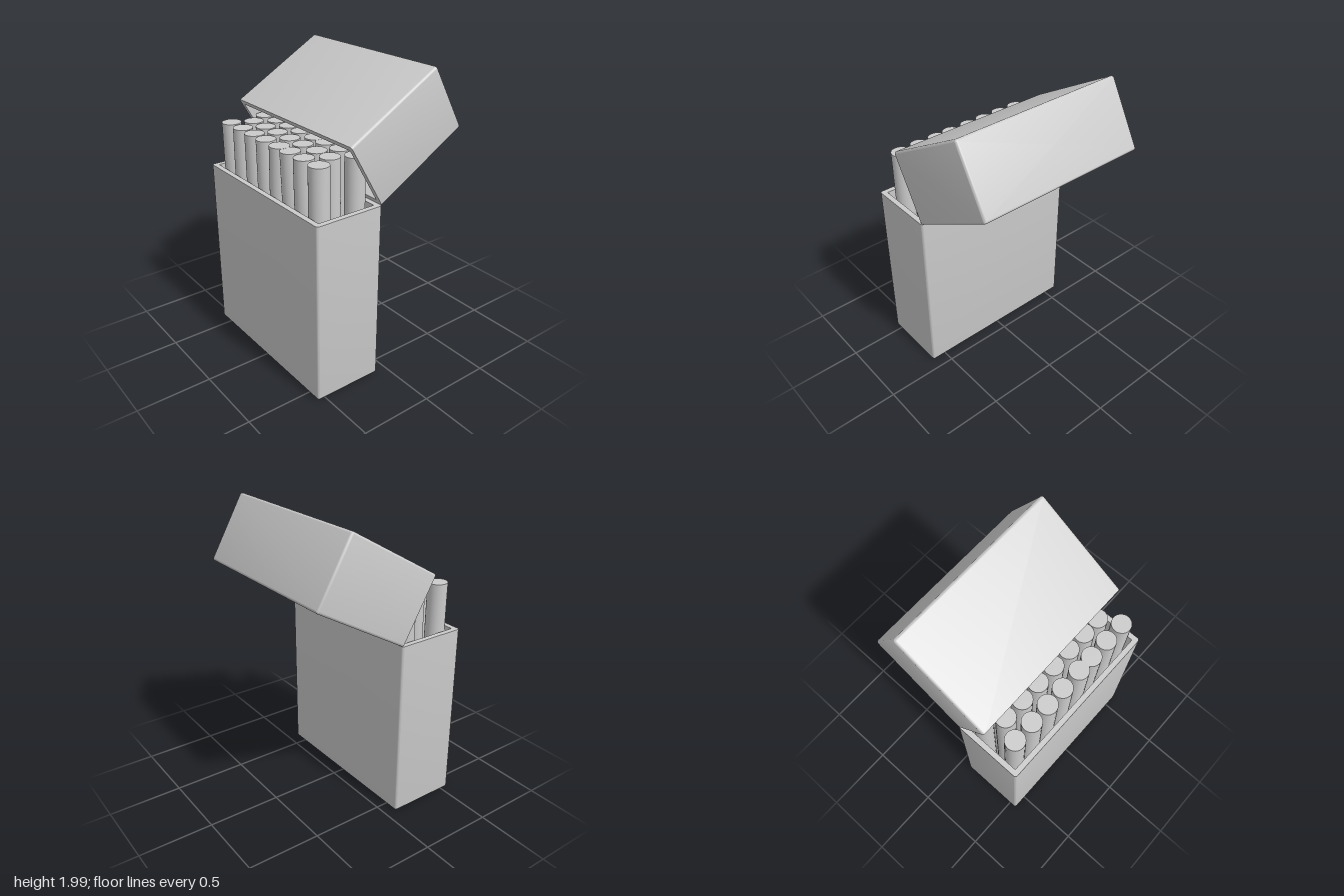
import * as THREE from 'three';
import { toCreasedNormals } from 'three/addons/utils/BufferGeometryUtils.js';

const W = 1.21, D = 0.48, WALL = 0.036, R = 0.016;
const BODY_H = 1.22, LID_H = 0.73, BACK_Z = 0.075;

// Rounded rectangle as points, inset from the outer wall by a distance
function ring(inset, y, collapse) {
  const r = Math.max(R - inset, 0), points = [];
  const cx = W / 2 - inset - r, cz = D / 2 - inset - r;
  for (let q = 0; q < 4; q++) {
    const sx = q === 0 || q === 3 ? 1 : -1, sz = q < 2 ? -1 : 1;
    for (let k = 0; k <= 4; k++) {
      const a = (q + k / 4) * Math.PI / 2;
      const x = sx * cx + r * Math.cos(a), z = sz * cz - r * Math.sin(a);
      points.push(collapse ? [0, y, 0] : [x, y, z]);
    }
  }
  return points;
}

// Open-topped carton: up the outside, over the rim, down the inside
function cartonGeometry(h) {
  const rings = [ring(0, 0, true)];
  for (let k = 0; k <= 4; k++) {
    const a = k / 4 * Math.PI / 2;
    rings.push(ring(R * (1 - Math.sin(a)), R * (1 - Math.cos(a))));
  }
  rings.push(ring(0, h), ring(WALL, h), ring(WALL, WALL), ring(0, WALL, true));
  const n = rings[0].length, index = [];
  for (let i = 0; i < rings.length - 1; i++) {
    for (let j = 0; j < n; j++) {
      const a = i * n + j, b = i * n + (j + 1) % n;
      if (i > 0) index.push(a, b, b + n);
      if (i < rings.length - 2) index.push(a, b + n, a + n);
    }
  }
  const g = new THREE.BufferGeometry();
  g.setAttribute('position', new THREE.Float32BufferAttribute(rings.flat(2), 3));
  g.setIndex(index);
  return toCreasedNormals(g, 0.6);
}

export function createModel() {
  const model = new THREE.Group();
  model.name = 'openFlipTopPack';
  const material = new THREE.MeshStandardMaterial({ color: 0xcccccc });

  // Lower carton
  const body = new THREE.Mesh(cartonGeometry(BODY_H), material);
  body.name = 'body';
  body.position.z = BACK_Z + D / 2;
  model.add(body);

  // Lid, the same carton upside down, tipped back about the rear top edge
  const hinge = new THREE.Group();
  hinge.name = 'lidHinge';
  hinge.position.set(0, BODY_H, BACK_Z);
  hinge.rotation.x = -Math.PI / 3;
  const lid = new THREE.Mesh(cartonGeometry(LID_H), material);
  lid.name = 'lid';
  lid.rotation.x = Math.PI;
  lid.position.set(0, LID_H, D / 2);
  hinge.add(lid);
  model.add(hinge);

  // Rows of loosely packed sticks: top x positions, row z, and lean [x, z] at the foot
  const outer = [-0.49, -0.345, -0.205, -0.07, 0.08, 0.195, 0.335, 0.48];
  const rows = [
    { z: 0.447, xs: outer, lean: [[0, -0.01], [-0.01, 0.005], [0, -0.005], [0.01, 0], [-0.015, 0.015], [0.03, -0.02], [0.025, 0.004], [0, 0]] },
    { z: 0.316, xs: [-0.425, -0.28, -0.14, 0, 0.14, 0.28, 0.41], lean: [[0, 0], [-0.01, 0.004], [0.005, 0], [0.015, 0.004], [0.02, 0], [0, 0], [0, 0]] },
    { z: 0.185, xs: outer, lean: [[0, 0], [0.005, 0], [-0.005, 0], [0.01, 0], [0, 0], [0.015, 0], [0.005, 0], [0, 0]] },
  ];
  const bottom = 0.04, top = 1.53, up = new THREE.Vector3(0, 1, 0);
  const stickGeometry = new THREE.CylinderGeometry(0.064, 0.064, top - bottom, 32);
  const sticks = new THREE.Group();
  sticks.name = 'sticks';
  rows.forEach(({ z, xs, lean }) => xs.forEach((x, i) => {
    const [lx, lz] = lean[i];
    const stick = new THREE.Mesh(stickGeometry, material);
    stick.name = 'stick';
    stick.position.set(x + lx / 2, (top + bottom) / 2, z + lz / 2);
    stick.quaternion.setFromUnitVectors(up, new THREE.Vector3(-lx, top - bottom, -lz).normalize());
    sticks.add(stick);
  }));
  model.add(sticks);
  return model;
}
